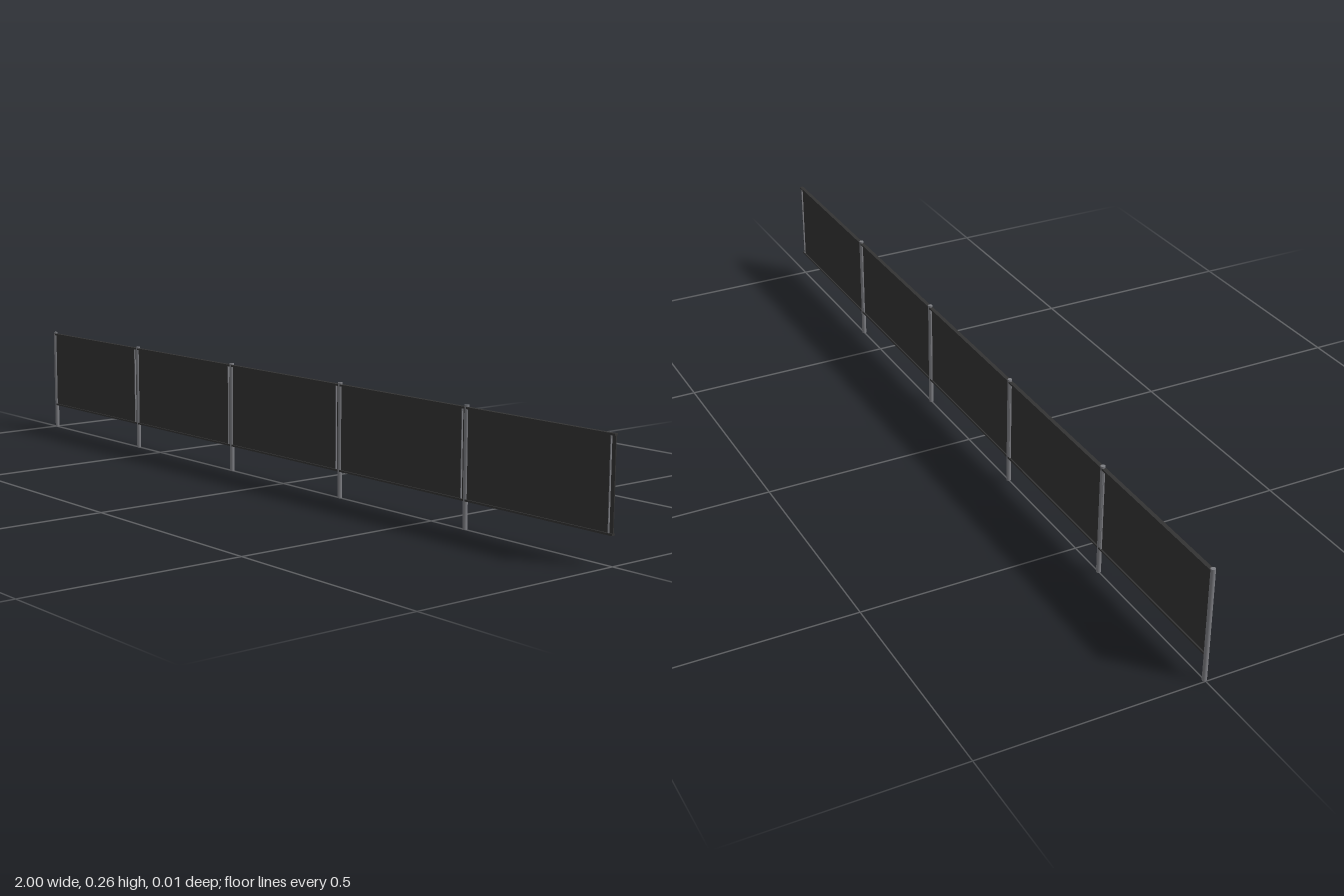
import * as THREE from 'three';

export function createModel() {
  const model = new THREE.Group();
  model.name = 'fence';
  const steel = new THREE.MeshStandardMaterial({ color: 0x7c7d82 });
  steel.name = 'grey steel';
  const dark = new THREE.MeshStandardMaterial({ color: 0x333333 });
  dark.name = 'dark panel';

  const add = (name, geometry, material, x, y) => {
    const mesh = new THREE.Mesh(geometry, material);
    mesh.name = name;
    mesh.position.set(x, y, 0);
    model.add(mesh);
  };

  const bays = 5, start = -0.995, pitch = 0.399;
  const bottom = 0.06, top = 0.256, middle = (bottom + top) / 2;
  const post = new THREE.CylinderGeometry(0.0052, 0.0052, 0.26, 16);
  const sheet = new THREE.BoxGeometry(pitch, top - bottom, 0.002);
  const rail = new THREE.BoxGeometry(pitch, 0.004, 0.009);
  const stile = new THREE.BoxGeometry(0.002, top - bottom - 0.008, 0.0085);

  for (let i = 0; i < bays; i++) {
    const left = start + i * pitch;
    const centre = left + pitch / 2;

    // Round post at the start of each bay
    add('post', post, steel, left, 0.13);

    // Sheet framed by flanges along its top and bottom
    add('panel', sheet, dark, centre, middle);
    add('topRail', rail, dark, centre, top - 0.002);
    add('bottomRail', rail, dark, centre, bottom + 0.002);

    // Narrow upright closing the far end of the bay
    add('endStile', stile, steel, left + pitch - 0.01, middle);
  }
  return model;
}
